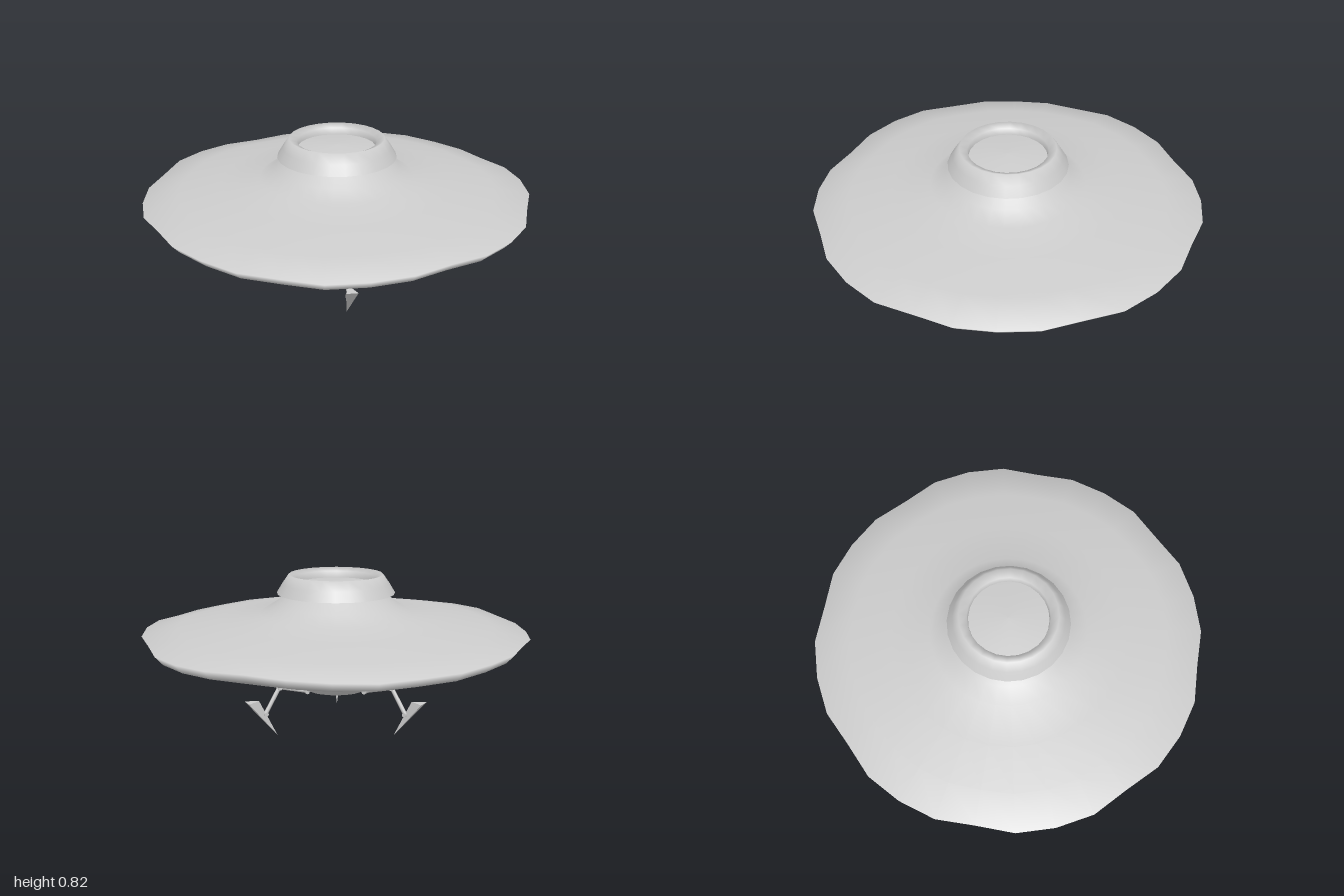
import * as THREE from 'three';

const smooth = new THREE.MeshStandardMaterial({ color: 0xcccccc, side: THREE.DoubleSide });
const flat = new THREE.MeshStandardMaterial({ color: 0xcccccc, flatShading: true });

// Revolved part; profile is [radius, height] from bottom to top
function revolve(name, profile, segments) {
  const points = profile.map(([r, y]) => new THREE.Vector2(r, y));
  const mesh = new THREE.Mesh(new THREE.LatheGeometry(points, segments), smooth);
  mesh.name = name;
  return mesh;
}

// Disc skin in one smooth sweep, with small notches and ripples near the rim
function makeHull() {
  const hull = revolve('hull', [
    [0.575, 0.4], [0.63, 0.403], [0.82, 0.435], [0.96, 0.48], [1, 0.525],
    [0.82, 0.56], [0.6, 0.597], [0.4, 0.62], [0.32, 0.67], [0.25, 0.725]
  ], 32);
  const geo = hull.geometry, p = geo.attributes.position;
  for (let i = 0; i < p.count; i++) {
    const x = p.getX(i), y = p.getY(i), z = p.getZ(i);
    const a = Math.atan2(x, z);
    const w = THREE.MathUtils.smoothstep(Math.hypot(x, z), 0.65, 1);
    const notch = Math.max(0, -Math.cos(8 * a));
    const k = 1 - 0.022 * w * notch;
    p.setXYZ(i, x * k, y + 0.008 * w * Math.sin(5 * a), z * k);
  }
  return hull;
}

// Round bar between two points in the leg's own plane (z outward)
function bar(name, [z1, y1], [z2, y2], radius) {
  const a = new THREE.Vector3(0, y1, z1), b = new THREE.Vector3(0, y2, z2);
  const dir = b.clone().sub(a);
  const mesh = new THREE.Mesh(new THREE.CylinderGeometry(radius, radius, dir.length(), 8), smooth);
  mesh.position.copy(a).add(b).multiplyScalar(0.5);
  mesh.quaternion.setFromUnitVectors(new THREE.Vector3(0, 1, 0), dir.normalize());
  mesh.name = name;
  return mesh;
}

// Sideways hinge pin
function pin(name, [z, y], radius, width) {
  const mesh = new THREE.Mesh(new THREE.CylinderGeometry(radius, radius, width, 8), smooth);
  mesh.rotation.z = Math.PI / 2;
  mesh.position.set(0, y, z);
  mesh.name = name;
  return mesh;
}

// Three-sided spike: broad face outward, leaning inward to its point on the ground
function makeFoot() {
  const h = 0.2;
  const geo = new THREE.ConeGeometry(0.036, h, 3);
  geo.rotateX(Math.PI);
  geo.scale(1, 1, 1.25);
  const p = geo.attributes.position;
  for (let i = 0; i < p.count; i++) {
    const t = (p.getY(i) + h / 2) / h;
    p.setY(i, t * h);
    p.setZ(i, p.getZ(i) + 0.35 + 0.145 * t);
  }
  const foot = new THREE.Mesh(geo, flat);
  foot.name = 'foot';
  return foot;
}

function makeLeg() {
  const hip = [0.18, 0.212], knee = [0.335, 0.255], ankle = [0.415, 0.125];
  const leg = new THREE.Group();
  leg.add(
    bar('upperStrut', hip, knee, 0.009),
    bar('lowerStrut', knee, ankle, 0.011),
    pin('hipPin', hip, 0.012, 0.04),
    pin('kneePin', knee, 0.012, 0.035),
    pin('anklePin', ankle, 0.012, 0.03),
    makeFoot()
  );
  return leg;
}

export function createModel() {
  const model = new THREE.Group();
  model.name = 'saucer';

  // Disc and the shallow recess around the bowl
  model.add(
    makeHull(),
    revolve('recessWall', [[0.575, 0.44], [0.575, 0.4]], 32),
    revolve('recessCeiling', [[0.34, 0.41], [0.575, 0.44]], 32)
  );

  // Collar rolling over into its inner lip, its base, and the sunken floor
  model.add(
    revolve('collarBase', [[0.25, 0.725], [0.308, 0.725]], 24),
    revolve('collar', [[0.308, 0.725], [0.278, 0.775], [0.245, 0.822], [0.205, 0.805], [0.2, 0.77]], 24),
    revolve('collarFloor', [[0.205, 0.77], [0.1, 0.782], [0, 0.786]], 24)
  );

  // Belly bowl
  model.add(revolve('bellyBowl',
    [[0, 0.2], [0.15, 0.207], [0.2, 0.225], [0.25, 0.272], [0.3, 0.338], [0.34, 0.41]], 12));

  // Three landing legs, one at the front
  for (let i = 0; i < 3; i++) {
    const leg = makeLeg();
    leg.name = ['frontLeg', 'backLeftLeg', 'backRightLeg'][i];
    leg.rotation.y = i * Math.PI * 2 / 3;
    model.add(leg);
  }
  return model;
}
